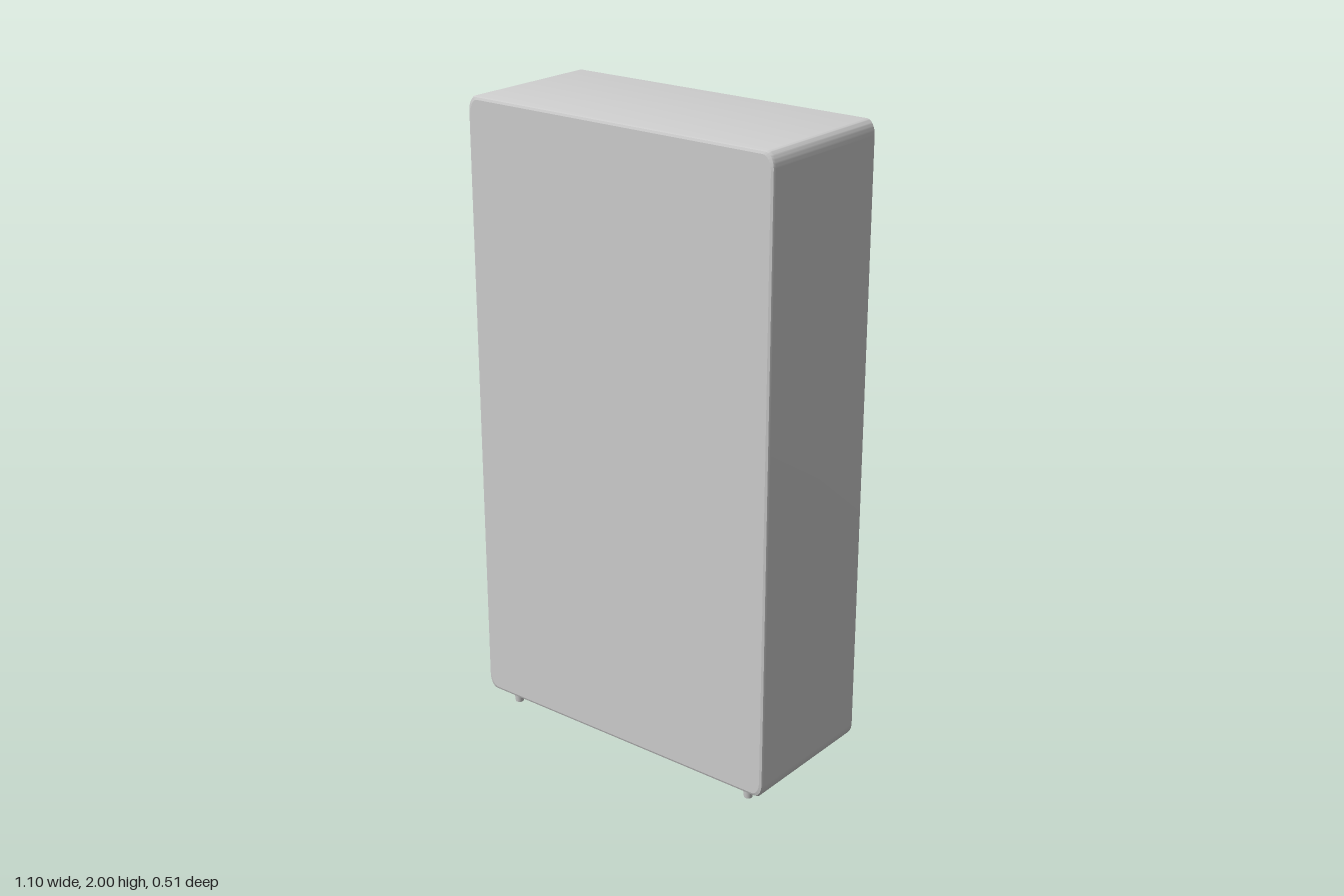
import * as THREE from 'three';
import { toCreasedNormals } from 'three/addons/utils/BufferGeometryUtils.js';

const mat = new THREE.MeshStandardMaterial({ color: 0xcccccc });
const BACK = -0.23; // z of the vending face
const WINDOW = [-0.44, 0.99, 0.44, 1.88];
const TRAY = [-0.26, 0.26, 0.45, 0.47];

function add(parent, name, geometry, x = 0, y = 0, z = 0) {
  const mesh = new THREE.Mesh(geometry, mat);
  mesh.name = name;
  mesh.position.set(x, y, z);
  parent.add(mesh);
  return mesh;
}

// Cabinet outline with elliptical corners, drawn in by an inset
function outline(inset) {
  const w = 0.55 - inset, b = 0.045 + inset, t = 2 - inset;
  const rx = 0.027, ry = 0.045, s = new THREE.Shape();
  const corner = (cx, cy, a) => s.absellipse(cx, cy, rx, ry, a, a + Math.PI / 2, false);
  corner(w - rx, b + ry, -Math.PI / 2);
  corner(w - rx, t - ry, 0);
  corner(-w + rx, t - ry, Math.PI / 2);
  corner(-w + rx, b + ry, Math.PI);
  s.closePath();
  return s;
}

function rectPath([x0, y0, x1, y1]) {
  return new THREE.Path([[x0, y0], [x0, y1], [x1, y1], [x1, y0]].map(p => new THREE.Vector2(...p)));
}

// Outer skin lofted through bevelled outlines
function skinGeometry() {
  const rings = [[BACK, 0.009], [BACK + 0.009, 0], [0.245, 0], [0.252, 0.003], [0.255, 0.01]]
    .map(([z, inset]) => outline(inset).getPoints(6).map(p => [p.x, p.y, z]));
  const n = rings[0].length, index = [];
  for (let i = 0; i < rings.length - 1; i++) {
    for (let j = 0; j < n; j++) {
      const a = i * n + j, b = i * n + (j + 1) % n;
      index.push(a, b, b + n, a, b + n, a + n);
    }
  }
  const g = new THREE.BufferGeometry();
  g.setAttribute('position', new THREE.Float32BufferAttribute(rings.flat(2), 3));
  g.setIndex(index);
  return toCreasedNormals(g, 0.6);
}

// Disc with a chamfered rim, standing out of the vending face
function disc(parent, name, x, y, r, h) {
  const c = h * 0.3;
  const pts = [[r, 0], [r, h - c], [r - c, h], [0, h]].map(p => new THREE.Vector2(...p));
  const g = toCreasedNormals(new THREE.LatheGeometry(pts, 28), 0.5);
  add(parent, name, g, x, y, BACK).rotation.x = -Math.PI / 2;
}

function lathe(points) {
  return toCreasedNormals(new THREE.LatheGeometry(points.map(p => new THREE.Vector2(...p)), 24), 0.5);
}

function canGeometry(r, h) {
  return lathe([[0, 0], [r * 0.85, 0], [r, 0.01], [r, h - 0.01], [r * 0.85, h], [0, h]]);
}

export function createModel() {
  const model = new THREE.Group();
  model.name = 'vendingMachine';

  // Cabinet
  const cabinet = new THREE.Group();
  cabinet.name = 'cabinet';
  model.add(cabinet);
  add(cabinet, 'cabinetSkin', skinGeometry());
  add(cabinet, 'plainPanel', new THREE.ShapeGeometry(outline(0.01), 6), 0, 0, 0.255);

  // Vending face with openings for the display window and the pickup tray
  const face = outline(0.009);
  face.holes.push(rectPath(WINDOW), rectPath(TRAY));
  const faceGeo = new THREE.ExtrudeGeometry(face, { depth: 0.2, bevelEnabled: false, curveSegments: 6 });
  add(cabinet, 'vendingFace', faceGeo, 0, 0, BACK);
  for (const [name, [x0, y0, x1, y1], depth] of [['windowBack', WINDOW, 0.2], ['trayBack', TRAY, 0.1]]) {
    const plane = new THREE.PlaneGeometry(x1 - x0, y1 - y0);
    add(cabinet, name, plane, (x0 + x1) / 2, (y0 + y1) / 2, BACK + depth).rotation.y = Math.PI;
  }

  // Shelves with a selection button below every drink
  const drinks = [
    ['shortCan', canGeometry(0.046, 0.13), -0.165],
    ['bottle', lathe([[0, 0], [0.029, 0], [0.034, 0.008], [0.034, 0.095], [0.028, 0.108],
      [0.01, 0.142], [0.008, 0.16], [0, 0.16]]), -0.18],
    ['tallCan', canGeometry(0.046, 0.175), -0.17],
  ];
  drinks.forEach(([name, geometry, z], row) => {
    const y = 1.12 + row * 0.25;
    const shelf = new THREE.Group();
    shelf.name = 'shelfRow';
    model.add(shelf);
    add(shelf, 'shelf', new THREE.BoxGeometry(0.88, 0.1, 0.198), 0, y, BACK + 0.1);
    for (let i = 0; i < 6; i++) {
      const x = 0.39 - i * 0.155;
      disc(shelf, 'selectionButton', x, y, 0.026, 0.008);
      add(shelf, name, geometry, x, y + 0.05, z);
    }
  });

  // Coin controls
  disc(model, 'coinDial', -0.297, 0.757, 0.086, 0.02);
  disc(model, 'coinButton', -0.158, 0.658, 0.048, 0.017);
  add(model, 'coinReturn', new THREE.BoxGeometry(0.128, 0.13, 0.04), -0.391, 0.355, -0.235);

  // Feet
  for (const x of [-0.465, 0.465]) {
    for (const z of [-0.18, 0.205]) {
      add(model, 'foot', new THREE.CylinderGeometry(0.019, 0.013, 0.05, 16), x, 0.025, z);
    }
  }
  return model;
}
